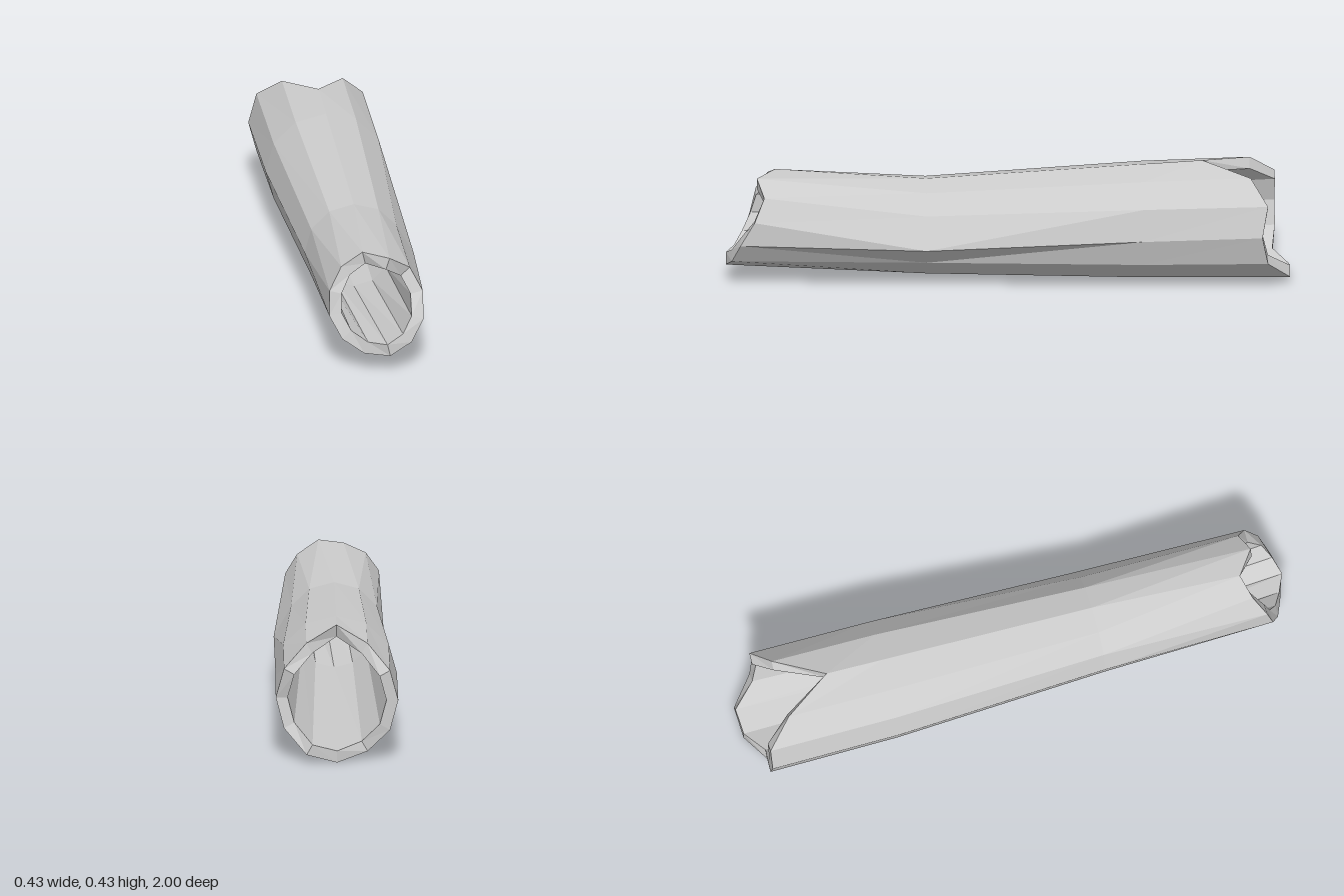
import * as THREE from 'three';

const SIDES = 12;

// Jagged ends: z of each of the 12 staves, counter-clockwise from +x
const FRONT = [0.9, 0.865, 0.89, 0.825, 0.85, 0.89, 0.91, 0.94, 0.97, 1, 0.98, 0.95];
const BACK = [-0.9, -0.92, -0.86, -0.69, -0.86, -0.95, -0.95, -0.95, -0.94, -0.995, -1, -0.92];

// One ring of points; z is a number or a per-stave list, bump moves the first (seam) point
function ring(cy, rx, ry, z, twist = 0, bump = null) {
  const points = [];
  for (let i = 0; i < SIDES; i++) {
    const a = (i / SIDES) * Math.PI * 2 + THREE.MathUtils.degToRad(twist);
    points.push([rx * Math.cos(a), cy + ry * Math.sin(a), Array.isArray(z) ? z[i] : z]);
  }
  if (bump) points[0] = [bump[0], bump[1], points[0][2]];
  return points;
}

// Skin a closed loop of rings: out along the bark, over the rim, back through the hollow
function loft(rings) {
  const pos = [];
  rings.forEach((r, s) => {
    const next = rings[(s + 1) % rings.length];
    for (let i = 0; i < SIDES; i++) {
      const j = (i + 1) % SIDES;
      pos.push(...r[i], ...next[i], ...next[j], ...r[i], ...next[j], ...r[j]);
    }
  });
  const geometry = new THREE.BufferGeometry();
  geometry.setAttribute('position', new THREE.Float32BufferAttribute(pos, 3));
  geometry.computeVertexNormals();
  return geometry;
}

export function createModel() {
  const group = new THREE.Group();
  group.name = 'hollowLog';

  const rings = [
    // bark, front to back
    ring(0.23, 0.172, 0.17, FRONT, 13),
    ring(0.196, 0.176, 0.175, 0.29, 0, [0.214, 0.175]),
    ring(0.212, 0.216, 0.208, -0.48, 0, [0.214, 0.205]),
    ring(0.217, 0.217, 0.216, BACK),
    // hollow, back to front
    ring(0.217, 0.175, 0.174, BACK),
    ring(0.193, 0.132, 0.132, 0.29),
    ring(0.23, 0.127, 0.126, FRONT, 13),
  ];

  const log = new THREE.Mesh(
    loft(rings),
    new THREE.MeshStandardMaterial({ color: 0xcccccc, flatShading: true })
  );
  log.name = 'logShell';
  group.add(log);
  return group;
}
